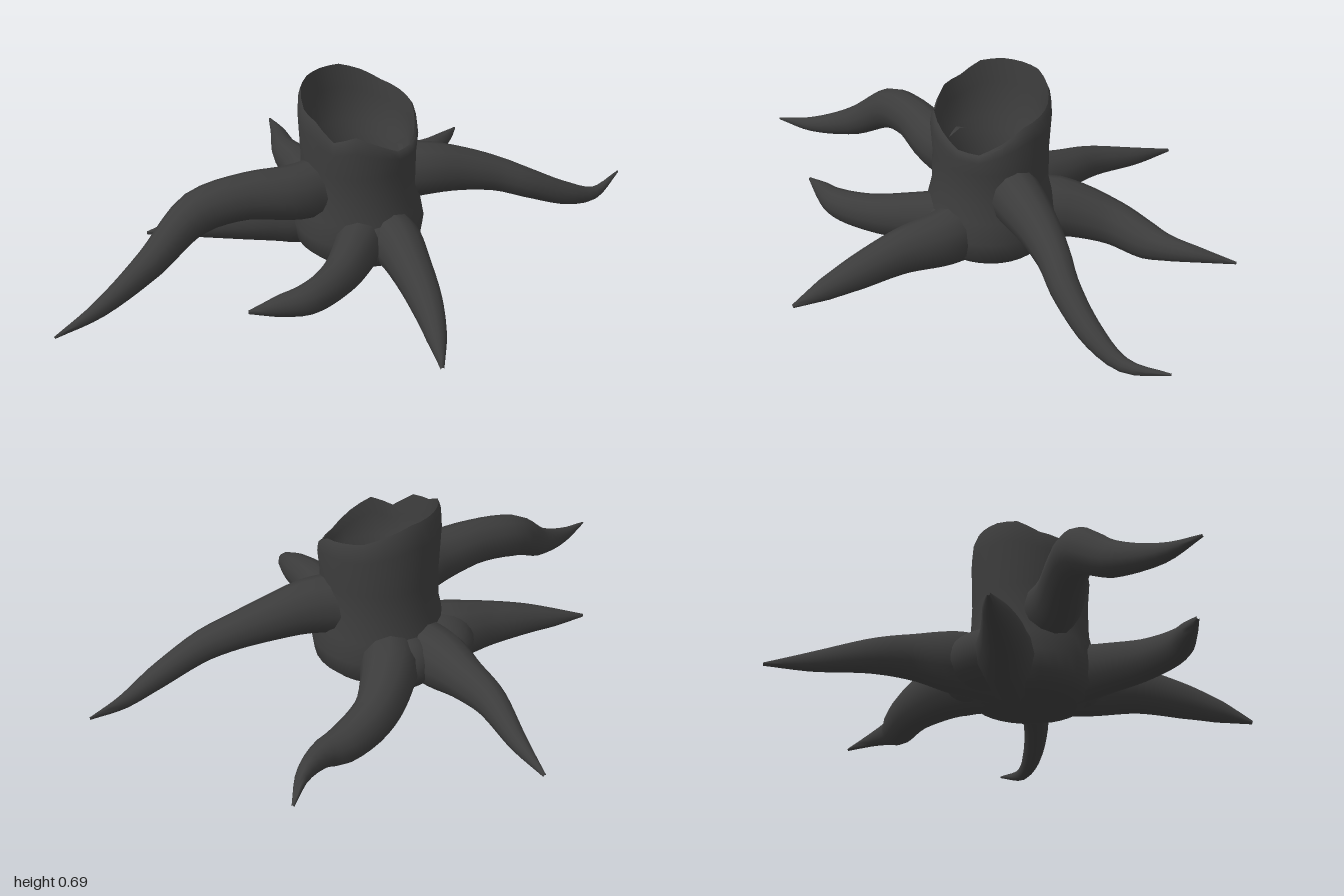
import * as THREE from 'three';
import { toCreasedNormals } from 'three/addons/utils/BufferGeometryUtils.js';

const bark = new THREE.MeshStandardMaterial({ color: 0x3c3c3c });

// Height of the broken rim around the trunk, from the front towards +x
const RIM = [0.56, 0.59, 0.55, 0.505, 0.5, 0.545, 0.595, 0.61,
  0.625, 0.66, 0.687, 0.69, 0.69, 0.68, 0.635, 0.622];

// Linear lookup in an evenly spaced list
function sample(list, f) {
  const i = Math.min(Math.floor(f), list.length - 2);
  return THREE.MathUtils.lerp(list[i], list[i + 1], f - i);
}

// Turned part whose upper portion (y > 0.42) stretches to the uneven rim
function turned(name, profile) {
  const geo = new THREE.LatheGeometry(profile.map(p => new THREE.Vector2(...p)), 32);
  const pos = geo.attributes.position;
  for (let i = 0; i < pos.count; i++) {
    const y = pos.getY(i);
    if (y <= 0.42) continue;
    const turn = Math.atan2(pos.getX(i), pos.getZ(i)) / (2 * Math.PI) + 1;
    const rim = sample([...RIM, RIM[0]], (turn % 1) * RIM.length);
    pos.setY(i, 0.42 + (y - 0.42) / 0.58 * (rim - 0.42));
  }
  const mesh = new THREE.Mesh(toCreasedNormals(geo, 0.8), bark);
  mesh.name = name;
  mesh.position.set(-0.05, 0, -0.07);
  return mesh;
}

// Tapering root, taller than wide; each point is [x, y, z, radius]
function root(name, points) {
  const curve = new THREE.CatmullRomCurve3(points.map(p => new THREE.Vector3(p[0], p[1], p[2])));
  const radii = points.map(p => p[3]);
  const rings = 24, sides = 12;
  const geo = new THREE.TubeGeometry(curve, rings, 1, sides);
  const pos = geo.attributes.position, v = new THREE.Vector3();
  for (let i = 0; i <= rings; i++) {
    const centre = curve.getPointAt(i / rings);
    const r = sample(radii, curve.getUtoTmapping(i / rings) * (radii.length - 1));
    for (let j = 0; j <= sides; j++) {
      const k = i * (sides + 1) + j;
      v.fromBufferAttribute(pos, k).sub(centre).multiplyScalar(r);
      pos.setXYZ(k, centre.x + v.x * 0.86, centre.y + v.y, centre.z + v.z * 0.86);
    }
  }
  const mesh = new THREE.Mesh(toCreasedNormals(geo, 1.2), bark);
  mesh.name = name;
  return mesh;
}

// Rounded swelling that fills the fork between two roots
function swelling(name, centre, size) {
  const geo = new THREE.SphereGeometry(1, 20, 14).scale(...size);
  const mesh = new THREE.Mesh(geo, bark);
  mesh.name = name;
  mesh.position.set(...centre);
  return mesh;
}

export function createModel() {
  const model = new THREE.Group();
  model.name = 'treeStump';

  // Trunk with a rounded underside and a deep hollow
  model.add(turned('trunk', [[0, 0], [0.1, 0.015], [0.2, 0.04], [0.24, 0.08], [0.25, 0.15],
    [0.235, 0.23], [0.218, 0.3], [0.215, 0.42], [0.222, 0.8], [0.217, 0.95], [0.208, 1]]));
  model.add(turned('hollow', [[0.208, 1], [0.197, 0.8], [0.188, 0.5], [0.165, 0.41],
    [0.155, 0.28], [0, 0.27]]));

  // Upper roots, flaring out of the trunk wall
  model.add(root('backLeftRoot', [[0.07, 0.31, -0.175, 0.115], [0.17, 0.315, -0.235, 0.105],
    [0.285, 0.295, -0.315, 0.085], [0.4, 0.262, -0.385, 0.068], [0.5, 0.22, -0.437, 0.06],
    [0.635, 0.14, -0.553, 0.046], [0.715, 0.1, -0.665, 0.027], [0.77, 0.13, -0.82, 0.004]]));
  model.add(root('frontRightRoot', [[-0.145, 0.325, 0.075, 0.115], [-0.2, 0.335, 0.165, 0.107],
    [-0.34, 0.355, 0.3, 0.088], [-0.463, 0.325, 0.43, 0.084], [-0.545, 0.205, 0.615, 0.06],
    [-0.623, 0.125, 0.83, 0.032], [-0.69, 0.1, 1, 0.004]]));

  // Lower roots, starting beneath the hollow
  model.add(root('backRoot', [[-0.09, 0.14, -0.13, 0.125], [-0.15, 0.14, -0.31, 0.122],
    [-0.147, 0.1, -0.52, 0.09], [-0.08, 0.075, -0.665, 0.074], [-0.03, 0.085, -0.745, 0.052],
    [0, 0.09, -0.86, 0.031], [-0.005, 0.07, -1, 0.005]]));
  model.add(root('backRightRoot', [[-0.15, 0.135, -0.1, 0.125], [-0.32, 0.145, -0.21, 0.115],
    [-0.42, 0.15, -0.3, 0.085], [-0.525, 0.14, -0.39, 0.066], [-0.655, 0.115, -0.565, 0.036],
    [-0.76, 0.1, -0.69, 0.006]]));
  model.add(root('rightRoot', [[-0.15, 0.13, -0.07, 0.125], [-0.31, 0.13, 0.01, 0.12],
    [-0.43, 0.125, 0.095, 0.09], [-0.56, 0.115, 0.175, 0.062], [-0.67, 0.1, 0.237, 0.036],
    [-0.77, 0.085, 0.3, 0.006]]));
  model.add(root('frontRoot', [[0.01, 0.14, 0, 0.125], [0.05, 0.15, 0.18, 0.097],
    [0.062, 0.15, 0.36, 0.075], [0.022, 0.15, 0.51, 0.06], [-0.05, 0.15, 0.59, 0.04],
    [-0.125, 0.155, 0.67, 0.006]]));
  model.add(root('frontLeftRoot', [[0.03, 0.14, -0.03, 0.125], [0.165, 0.145, 0.06, 0.11],
    [0.28, 0.14, 0.19, 0.087], [0.392, 0.105, 0.32, 0.067], [0.468, 0.065, 0.425, 0.043],
    [0.53, 0.02, 0.525, 0.007]]));

  // Swellings where neighbouring roots grow together
  model.add(swelling('rightFork', [-0.28, 0.135, -0.085], [0.13, 0.105, 0.17]));
  model.add(swelling('frontFork', [0.08, 0.14, 0.06], [0.1, 0.1, 0.1]));
  model.add(swelling('backFork', [-0.2, 0.14, -0.23], [0.1, 0.1, 0.1]));

  return model;
}
